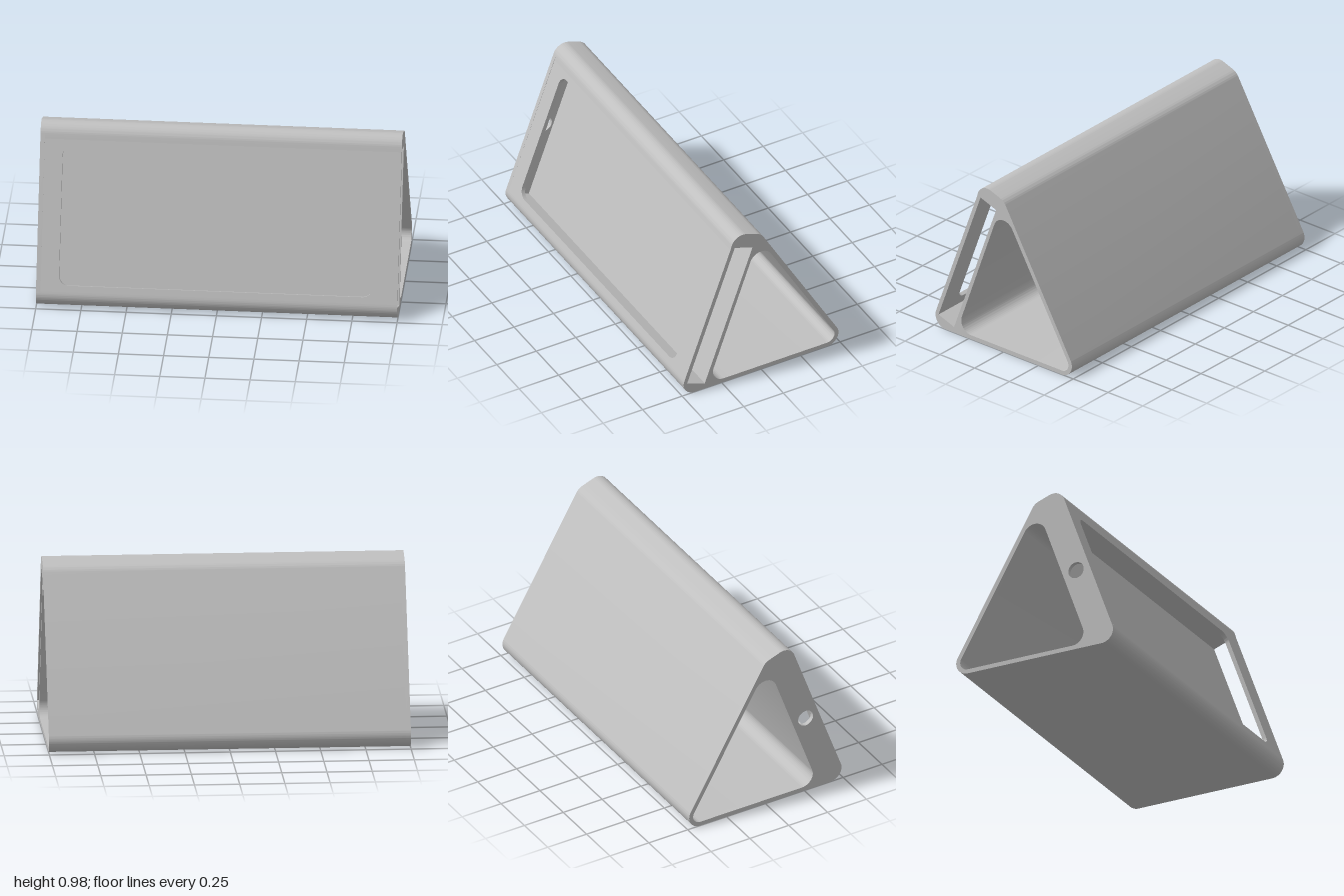
import * as THREE from 'three';
import { toCreasedNormals } from 'three/addons/utils/BufferGeometryUtils.js';

// Front face frame: s runs up the slope, n points out of it
const TILT = THREE.MathUtils.degToRad(20);
const C = Math.cos(TILT), S = Math.sin(TILT);
const FACE_N = 0.4896, SLOT_FRONT = 0.466, SLOT_BACK = 0.347;
const SLOT_LOW = -0.089, SLOT_HIGH = 0.794, PANEL_LOW = -0.07, PANEL_HIGH = 0.78;
const WALL_X = -0.975;

// Profile circles [-z, y, radius], counter-clockwise
const OUTER = [[-0.418, 0.072, 0.072], [0.418, 0.072, 0.072], [-0.0485, 0.88, 0.072], [-0.117, 0.905, 0.072]];
const INNER = [[-0.235, 0.095, 0.07], [0.418, 0.072, 0.047], [0, 0.746, 0.0715]];

// Outline wrapped tightly round a ring of circles
function wrapCircles(path, circles) {
  const count = circles.length;
  const normals = circles.map(([x, y, r], i) => {
    const [x2, y2, r2] = circles[(i + 1) % count];
    const dx = x2 - x, dy = y2 - y;
    return Math.atan2(dy, dx) - Math.acos((r - r2) / Math.hypot(dx, dy));
  });
  circles.forEach(([x, y, r], i) => {
    path.absarc(x, y, r, normals[(i + count - 1) % count], normals[i], false);
  });
  return path;
}

// Extrude a (-z, y) profile along x
function extrudeAlongX(shape, x0, x1) {
  const geo = new THREE.ExtrudeGeometry(shape, { depth: x1 - x0, bevelEnabled: false, curveSegments: 24 });
  geo.rotateY(Math.PI / 2).translate(x0, 0, 0);
  return toCreasedNormals(geo, 0.5);
}

function roundedRect(path, x0, y0, x1, y1, r) {
  path.absarc(x0 + r, y0 + r, r, Math.PI, Math.PI * 1.5, false);
  path.absarc(x1 - r, y0 + r, r, Math.PI * 1.5, Math.PI * 2, false);
  path.absarc(x1 - r, y1 - r, r, 0, Math.PI / 2, false);
  path.absarc(x0 + r, y1 - r, r, Math.PI / 2, Math.PI, false);
  path.closePath();
  return path;
}

export function createModel() {
  const group = new THREE.Group();
  const grey = new THREE.MeshStandardMaterial({ color: 0xc0c0c0 });
  grey.name = 'light grey';
  const add = (name, geo) => {
    const mesh = new THREE.Mesh(geo, grey);
    mesh.name = name;
    group.add(mesh);
  };

  // Triangular tube with a slot open towards the front panel and the left end
  const body = wrapCircles(new THREE.Shape(), OUTER);
  [
    [PANEL_HIGH, FACE_N], [PANEL_HIGH, SLOT_FRONT], [SLOT_HIGH, SLOT_FRONT], [SLOT_HIGH, SLOT_BACK],
    [SLOT_LOW, SLOT_BACK], [SLOT_LOW, SLOT_FRONT], [PANEL_LOW, SLOT_FRONT], [PANEL_LOW, FACE_N],
  ].forEach(([s, n]) => body.lineTo(S * s - C * n, C * s + S * n));
  body.closePath();
  body.holes.push(wrapCircles(new THREE.Path(), INNER));
  add('standBody', extrudeAlongX(body, WALL_X, 1));

  // Closed end of the slot, with a round cable hole
  const end = wrapCircles(new THREE.Shape(), OUTER);
  end.closePath();
  end.holes.push(wrapCircles(new THREE.Path(), INNER));
  end.holes.push(new THREE.Path().absarc(-0.259, 0.479, 0.048, 0, Math.PI * 2, false));
  add('endWall', extrudeAlongX(end, -1, WALL_X));

  // Thin sloping front with a rounded window
  const panel = new THREE.Shape();
  panel.moveTo(WALL_X, PANEL_LOW);
  panel.lineTo(1, PANEL_LOW);
  panel.lineTo(1, PANEL_HIGH);
  panel.lineTo(WALL_X, PANEL_HIGH);
  panel.closePath();
  panel.holes.push(roundedRect(new THREE.Path(), -0.875, -0.034, 0.86, 0.743, 0.055));
  const panelGeo = new THREE.ExtrudeGeometry(panel, {
    depth: FACE_N - SLOT_FRONT, bevelEnabled: false, curveSegments: 12,
  });
  panelGeo.translate(0, 0, SLOT_FRONT);
  panelGeo.applyMatrix4(new THREE.Matrix4().makeBasis(
    new THREE.Vector3(1, 0, 0), new THREE.Vector3(0, C, -S), new THREE.Vector3(0, S, C)));
  add('frontPanel', toCreasedNormals(panelGeo, 0.5));

  return group;
}
